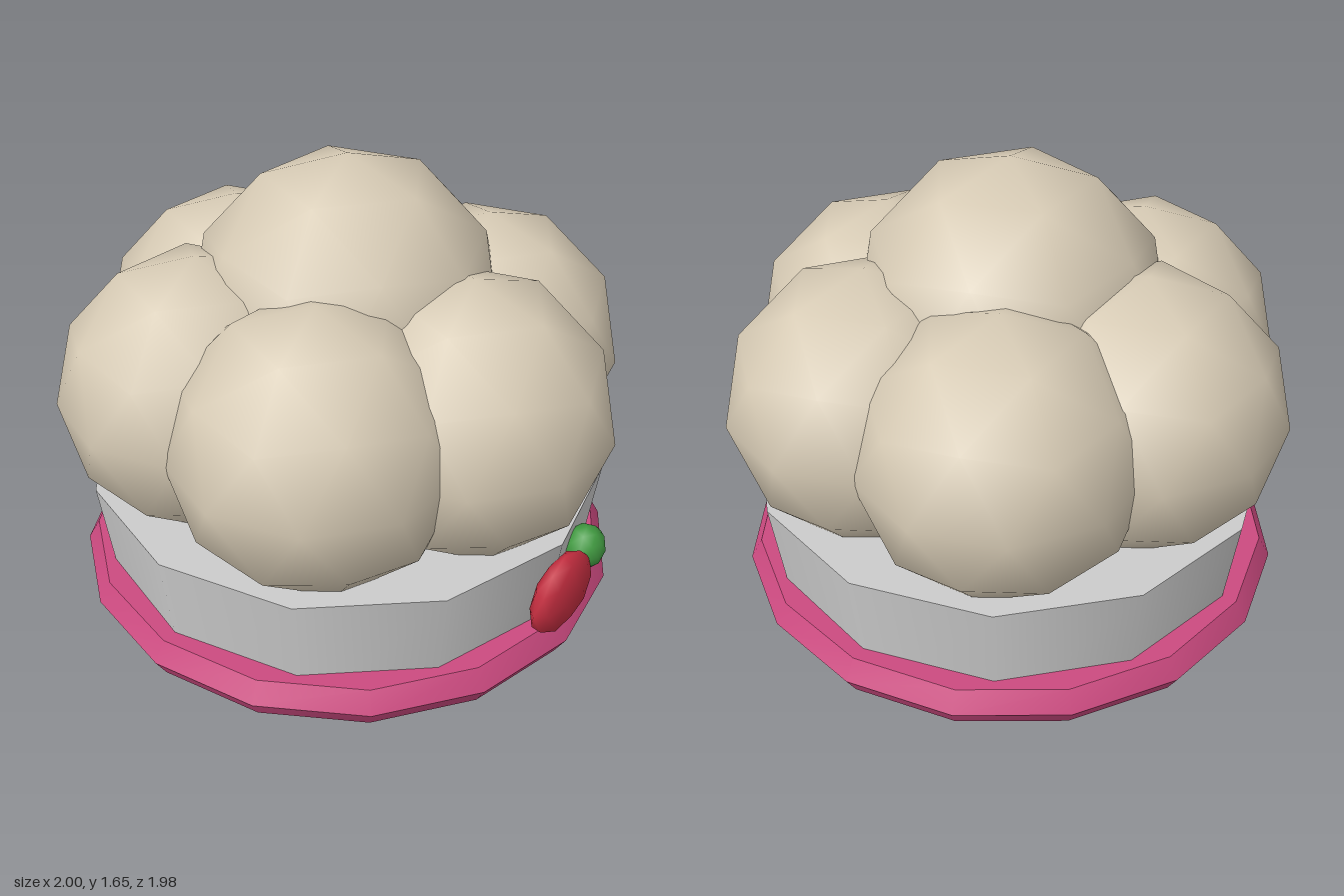
import * as THREE from 'three';
import { toCreasedNormals } from 'three/addons/utils/BufferGeometryUtils.js';

const paint = (name, color) => {
  const m = new THREE.MeshStandardMaterial({ color });
  m.name = name;
  return m;
};

export function createModel() {
  const cream = paint('cream', 0xd6cab4);
  const white = paint('white', 0xcccccc);
  const pink = paint('pink', 0xcc4a80);
  const red = paint('red', 0xc62e40);
  const green = paint('green', 0x419a41);

  const model = new THREE.Group();
  model.name = 'puffyHat';
  const add = (name, geometry, material, x, y, z) => {
    const mesh = new THREE.Mesh(geometry, material);
    mesh.name = name;
    mesh.position.set(x, y, z);
    model.add(mesh);
    return mesh;
  };

  // Low-poly ball with one corner pointing straight up
  const ball = new THREE.IcosahedronGeometry(1, 1);
  ball.rotateZ(Math.atan(2 / (1 + Math.sqrt(5))));
  ball.rotateY(Math.PI);

  const cx = -0.006;

  // Tapered twelve-sided band
  add('band', new THREE.CylinderGeometry(0.932, 0.868, 0.525, 12), white, cx, 0.2625, 0);

  // Hexagonal trim ring around the foot of the band
  const ring = new THREE.TorusGeometry(0.903, 0.0845, 6, 16);
  ring.rotateX(Math.PI / 2);
  add('trimRing', toCreasedNormals(ring, 0.7), pink, cx, 0.132, 0);

  // Six puffs in a circle and a larger one on top
  for (let i = 0; i < 6; i++) {
    const a = (i * Math.PI) / 3;
    add('puff' + (i + 1), ball, cream, cx + 0.525 * Math.cos(a), 0.87, 0.455 / 0.866 * Math.sin(a))
      .scale.setScalar(0.495);
  }
  add('topPuff', ball, cream, cx, 1.105, 0).scale.setScalar(0.545);

  // Berry ornament with its leaf on the left side
  add('berry', ball, red, 0.94, 0.33, 0).scale.set(0.059, 0.15, 0.17);
  add('berryLeaf', ball, green, 0.912, 0.395, -0.185).scale.set(0.072, 0.083, 0.08);

  return model;
}
